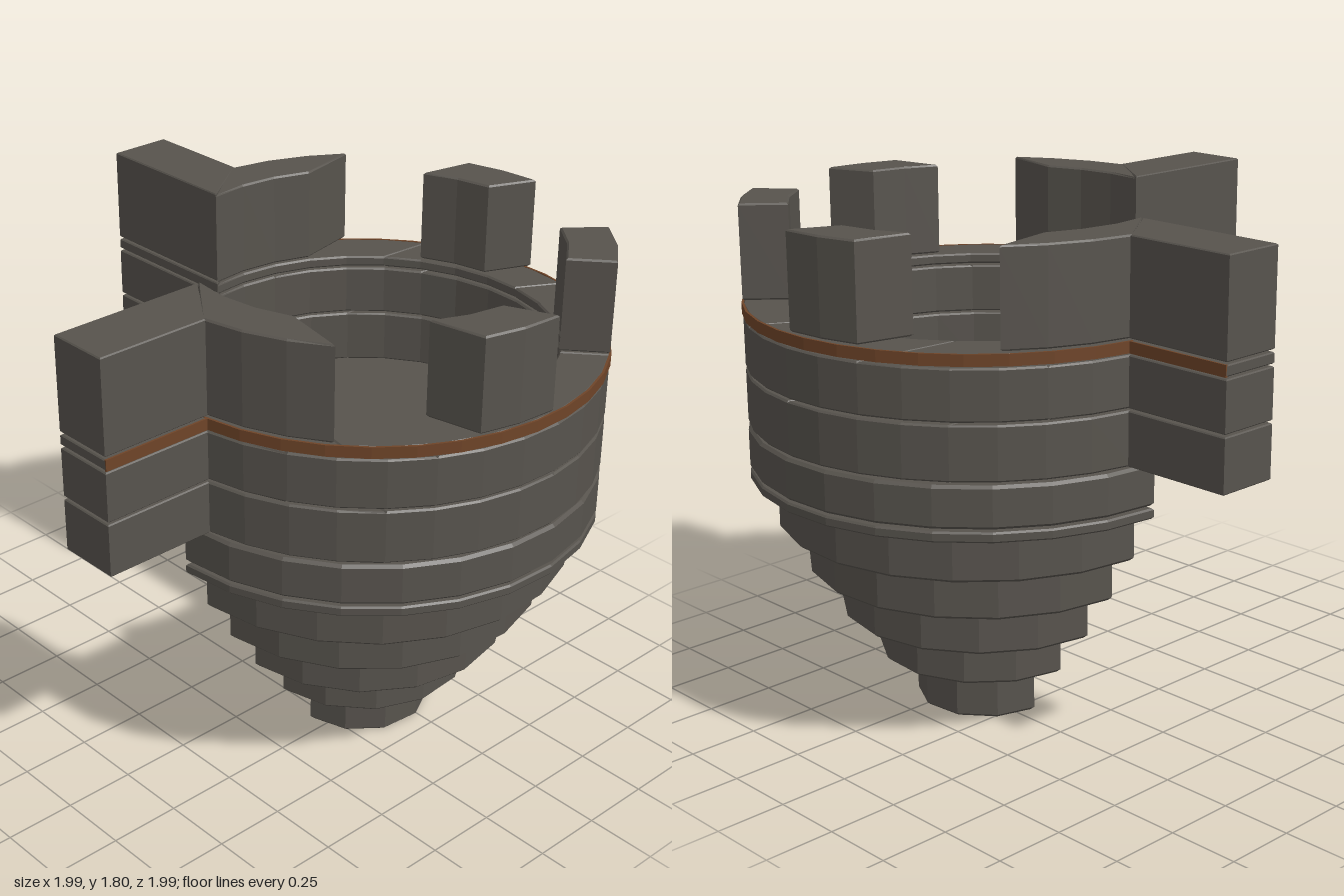
import * as THREE from 'three';

const stone = new THREE.MeshStandardMaterial({ color: 0x57534d });
stone.name = 'darkStone';
const rust = new THREE.MeshStandardMaterial({ color: 0x6e4428 });
rust.name = 'rustTrim';

const C = 0.19;          // tower axis in x and z
const R = 0.803;         // outer radius of the parapet
const INNER = 0.64;      // inner radius of the parapet
const SKEW = 1.137;      // inner angles are wider, so joints lie askew
const HALF = 128;        // half the parapet arc in degrees, about the diagonal

// Point on a circle round the axis; angle is measured from the +x +z diagonal
function polar(r, offset) {
  const a = THREE.MathUtils.degToRad(45 + offset);
  return new THREE.Vector2(C + r * Math.cos(a), C + r * Math.sin(a));
}

function arc(r, from, to, segments) {
  return Array.from({ length: segments + 1 }, (_, i) => polar(r, from + ((to - from) * i) / segments));
}

// Upright block from a plan outline (x, z) between two heights, with chamfered edges
function block(name, outline, y0, y1, bevel = 0.006, material = stone) {
  const geometry = new THREE.ExtrudeGeometry(new THREE.Shape(outline), {
    depth: y1 - y0 - 2 * bevel,
    bevelEnabled: bevel > 0,
    bevelSize: bevel,
    bevelOffset: -bevel,
    bevelThickness: bevel,
    bevelSegments: 1,
  });
  geometry.rotateX(Math.PI / 2);
  geometry.translate(0, y1 - bevel, 0);
  const mesh = new THREE.Mesh(geometry, material);
  mesh.name = name;
  return mesh;
}

// Curved brick of the parapet between two angles
function ringBrick(name, from, to, y0, y1) {
  const n = Math.max(2, Math.round((to - from) / 10));
  const outline = [
    ...arc(R, from, to, n),
    ...arc(INNER, to * SKEW, from * SKEW, n),
  ];
  return block(name, outline, y0, y1);
}

// Straight wall stub, mitred against the end of the parapet; side swaps x and z
function wallBlock(name, side, y0, y1) {
  const outline = [[-1, 0.08], [-0.45, 0.08], [-0.603, 0.3], [-1, 0.3]]
    .map(([a, b]) => (side ? new THREE.Vector2(b, a) : new THREE.Vector2(a, b)));
  return block(name, outline, y0, y1, 0.004);
}

export function createModel() {
  const model = new THREE.Group();
  model.name = 'cornerTurret';

  // Stepped corbel: three-quarter discs widening up to the floor
  const corbel = new THREE.Group();
  corbel.name = 'corbel';
  [
    [0.247, 0, 0.18, 8],
    [0.38, 0.188, 0.347, 10],
    [0.51, 0.355, 0.517, 12],
    [0.622, 0.525, 0.685, 14],
    [0.72, 0.693, 0.852, 16],
    [0.806, 0.86, 0.896, 20],
    [0.806, 0.904, 1.048, 20],
  ].forEach(([r, y0, y1, n], i) => {
    const outline = [new THREE.Vector2(C, C), ...arc(r, -135, 135, n)];
    corbel.add(block(i === 6 ? 'floor' : 'corbelCourse', outline, y0, y1, i === 5 ? 0.006 : 0.01));
  });
  model.add(corbel);

  // Parapet courses with staggered joints
  const parapet = new THREE.Group();
  parapet.name = 'parapet';
  [
    [1.058, 1.242, [-85, -42, 0, 42, 85]],
    [1.25, 1.422, [-107, -64, -21, 31, 74, 107]],
    [1.43, 1.467, [-75, -32.6, 10, 52, 95]],
  ].forEach(([y0, y1, joints]) => {
    const ends = [-HALF, ...joints, HALF];
    for (let i = 0; i < ends.length - 1; i++) {
      parapet.add(ringBrick('parapetBrick', ends[i], ends[i + 1], y0, y1));
    }
    for (const side of [0, 1]) parapet.add(wallBlock('wallStone', side, y0, y1));
  });
  model.add(parapet);

  // Merlons: one at the front, a pair at the flanks, a pair joined to the walls
  const merlons = new THREE.Group();
  merlons.name = 'merlons';
  for (const [from, to] of [[-10.5, 10.5], [44.3, 64.4], [-64.4, -44.3], [96.6, HALF], [-HALF, -96.6]]) {
    merlons.add(ringBrick('merlon', from, to, 1.475, 1.8));
  }
  for (const side of [0, 1]) merlons.add(wallBlock('wallMerlon', side, 1.475, 1.8));
  model.add(merlons);

  // Rust coloured strip along the outside of the tower and both walls
  const trim = new THREE.Group();
  trim.name = 'trim';
  const strip = [...arc(R + 0.004, -HALF, HALF, 26), ...arc(R - 0.004, HALF, -HALF, 26)];
  trim.add(block('towerTrim', strip, 1.429, 1.468, 0, rust));
  for (const side of [0, 1]) {
    const outline = [[-1, 0.297], [-0.603, 0.297], [-0.603, 0.304], [-1, 0.304]]
      .map(([a, b]) => (side ? new THREE.Vector2(b, a) : new THREE.Vector2(a, b)));
    trim.add(block('wallTrim', outline, 1.429, 1.468, 0, rust));
  }
  model.add(trim);

  return model;
}
